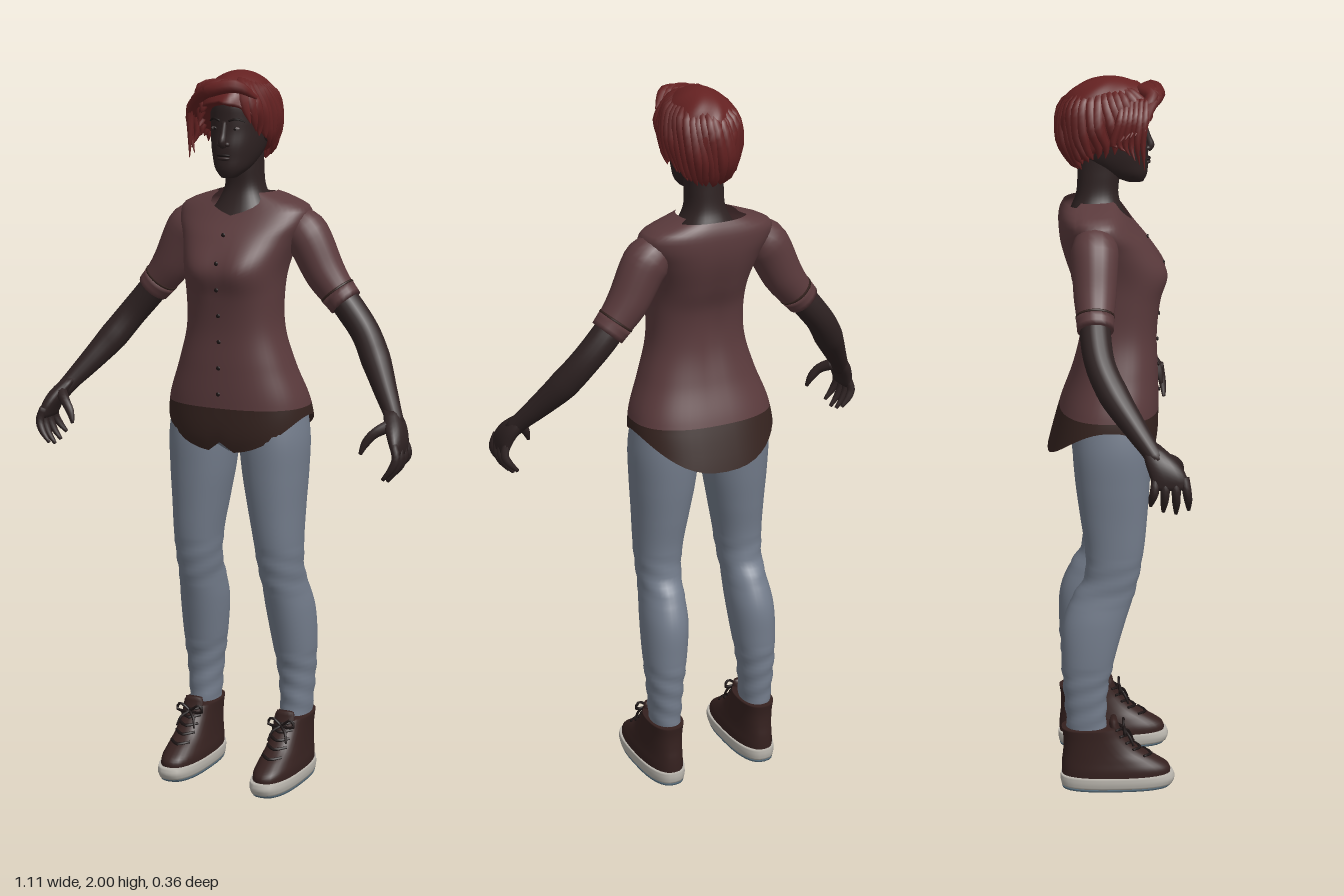
import * as THREE from 'three';

const mat = (name, color, double) => {
  const m = new THREE.MeshStandardMaterial({ color });
  m.name = name;
  if (double) m.side = THREE.DoubleSide;
  return m;
};

// Closed-around surface; fn(u, v) gives a point, s = -1 mirrors it in x
function wrap(fn, nu, nv, s = 1) {
  const pos = [], idx = [];
  for (let j = 0; j <= nv; j++) for (let i = 0; i < nu; i++) {
    const [x, y, z] = fn(i / nu, j / nv, j);
    pos.push(x * s, y, z);
  }
  for (let j = 0; j < nv; j++) for (let i = 0; i < nu; i++) {
    const a = j * nu + i, b = j * nu + (i + 1) % nu, c = b + nu, d = a + nu;
    if (s > 0) idx.push(a, b, c, a, c, d);
    else idx.push(a, c, b, a, d, c);
  }
  const g = new THREE.BufferGeometry();
  g.setAttribute('position', new THREE.Float32BufferAttribute(pos, 3));
  g.setIndex(idx);
  g.computeVertexNormals();
  return g;
}

// Smooth cross-section lookup; rows are [y, centreX, halfWidth, frontZ, backZ]
function section(rows, n = 2.3) {
  const it = new THREE.CubicInterpolant(rows.map(r => r[0]), rows.flatMap(r => r.slice(1)), 4);
  const pw = t => Math.sign(t) * Math.abs(t) ** (2 / n);
  return (a, y, k = 1) => {
    const [cx, w, f, b] = it.evaluate(y);
    return [cx + k * w * pw(Math.sin(a)), y, (f + b) / 2 + k * (f - b) / 2 * pw(Math.cos(a))];
  };
}

// Capped body through horizontal cross-sections
function loft(rows, { s = 1, n = 2.3, nu = 32, nv = 30, ripple = () => 0 } = {}) {
  const sec = section(rows, n), y0 = rows[0][0], y1 = rows[rows.length - 1][0];
  return wrap((u, v, j) => {
    const t = Math.min(1, Math.max(0, (j - 1) / (nv - 2))), y = y0 + (y1 - y0) * t;
    const a = u * Math.PI * 2;
    return sec(a, y, j === 0 || j === nv ? 0 : 1 + ripple(y, a));
  }, nu, nv, s);
}

// Capped tube of changing radius; points are [x, y, z, radius]
function tube(pts, s = 1, seg = 14, sides = 12) {
  const curve = new THREE.CatmullRomCurve3(pts.map(p => new THREE.Vector3(p[0], p[1], p[2])));
  const fr = curve.computeFrenetFrames(seg, false);
  return wrap((u, v, j) => {
    const k = Math.min(seg, Math.max(0, j - 1)), q = k / seg;
    const t = curve.getUtoTmapping(q) * (pts.length - 1), m = Math.min(pts.length - 2, Math.floor(t));
    const r = j === 0 || j === seg + 2 ? 0 : THREE.MathUtils.lerp(pts[m][3], pts[m + 1][3], t - m);
    const a = u * Math.PI * 2;
    return curve.getPointAt(q).addScaledVector(fr.normals[k], r * Math.cos(a))
      .addScaledVector(fr.binormals[k], r * Math.sin(a)).toArray();
  }, sides, seg + 2, s);
}

export function createModel() {
  const M = {
    skin: mat('skin', 0x2e2222), shirt: mat('shirt', 0x5a3a3c, true), hem: mat('shirt hem', 0x35231f, true),
    jeans: mat('jeans', 0x737c8b), hair: mat('hair', 0x642121, true), shoe: mat('shoe leather', 0x35211f),
    sole: mat('sole rim', 0xb8b4ac), tread: mat('tread', 0x5f7787), eye: mat('eyes', 0x6e6464), dark: mat('dark trim', 0x1c1414),
  };
  const root = new THREE.Group();
  root.name = 'figure';
  const add = (name, geo, m) => {
    const o = new THREE.Mesh(geo, m);
    o.name = name;
    root.add(o);
    return o;
  };
  const ball = (name, m, p, sc) => {
    const o = add(name, new THREE.SphereGeometry(1, 16, 10), m);
    o.position.set(...p);
    o.scale.set(...sc);
  };

  // Shirt body with V neck and curved tails
  const torso = section([
    [0.95, 0, 0.208, 0.10, -0.19], [1.0, 0, 0.208, 0.115, -0.178], [1.1, 0, 0.2, 0.12, -0.15],
    [1.2, 0, 0.165, 0.118, -0.115], [1.3, 0, 0.137, 0.115, -0.095], [1.4, 0, 0.134, 0.125, -0.1],
    [1.47, 0, 0.14, 0.135, -0.125], [1.55, 0, 0.165, 0.095, -0.148], [1.6, 0, 0.188, 0.055, -0.153],
    [1.635, 0, 0.178, 0.03, -0.15], [1.66, 0, 0.115, 0.015, -0.14], [1.675, 0, 0.065, 0.01, -0.13]], 2.4);
  const body = (a, y) => {
    const p = torso(a, y), bump = (v, c, w) => Math.exp(-(((v - c) / w) ** 2));
    if (Math.cos(a) > 0) p[2] += 0.012 * bump(Math.abs(p[0]), 0.07, 0.05) * bump(y, 1.47, 0.06);
    else p[2] += 0.012 * bump(p[0], 0, 0.03) * bump(y, 1.38, 0.15);
    return p;
  };
  const turn = u => (u > 0.5 ? u - 1 : u) * Math.PI * 2;
  const neckY = a => 1.61 + 0.06 * Math.min(1, Math.abs(a) / 0.7) - 0.008 * (Math.abs(a) > 2 ? 1 : 0);
  const hemY = a => 1.065 - 0.1 * Math.cos(a) ** 2 + (a === 0 ? 0.03 : 0);
  const line = 1.09;
  add('shirtBody', wrap((u, v) => {
    const a = turn(u);
    return body(a, line + (neckY(a) - line) * v);
  }, 48, 48), M.shirt);
  add('shirtHem', wrap((u, v) => {
    const a = turn(u);
    return body(a, hemY(a) + (line - hemY(a)) * v);
  }, 48, 6), M.hem);
  for (let i = 0; i < 7; i++) {
    const y = 1.13 + i * 0.072;
    ball('button', M.dark, [0, y, body(0, y)[2] + 0.003], [0.006, 0.006, 0.003]);
  }

  // Neck and upper chest
  add('neck', loft([[1.54, 0, 0.1, 0.075, -0.12], [1.6, 0, 0.1, 0.043, -0.13], [1.64, 0, 0.075, 0.022, -0.12],
    [1.68, 0, 0.055, 0.01, -0.105], [1.74, 0, 0.05, 0.015, -0.1], [1.8, 0, 0.05, 0.02, -0.1]]), M.skin);

  // Head and face
  add('head', loft([[1.715, 0, 0.02, 0.077, 0.03], [1.735, 0, 0.041, 0.087, -0.02], [1.77, 0, 0.058, 0.089, -0.08],
    [1.8, 0, 0.066, 0.09, -0.11], [1.84, 0, 0.072, 0.085, -0.13], [1.87, 0, 0.074, 0.085, -0.138],
    [1.92, 0, 0.07, 0.082, -0.135], [1.96, 0, 0.05, 0.055, -0.1]], { n: 2.2 }), M.skin);
  add('nose', tube([[0, 1.865, 0.08, 0.007], [0, 1.83, 0.09, 0.009], [0, 1.812, 0.096, 0.011], [0, 1.8, 0.088, 0.009]]), M.skin);
  ball('upperLip', M.dark, [0, 1.777, 0.088], [0.021, 0.005, 0.009]);
  ball('lowerLip', M.skin, [0, 1.768, 0.087], [0.019, 0.006, 0.01]);
  for (const s of [1, -1]) {
    ball('nostril', M.skin, [s * 0.011, 1.806, 0.087], [0.008, 0.007, 0.009]);
    ball('eye', M.eye, [s * 0.03, 1.848, 0.074], [0.012, 0.0045, 0.006]);
    ball('iris', M.dark, [s * 0.03, 1.848, 0.077], [0.005, 0.0045, 0.005]);
    add('eyebrow', tube([[0.013, 1.868, 0.083, 0.003], [0.033, 1.874, 0.077, 0.004], [0.052, 1.866, 0.062, 0.002]], s, 6, 6), M.dark);
    ball('ear', M.skin, [s * 0.075, 1.835, -0.03], [0.011, 0.028, 0.018]);
  }

  // Hair cap: low at the nape, high over the forehead
  let seed = 7;
  const rnd = () => (seed = (seed * 16807) % 2147483647) / 2147483647;
  const edge = new THREE.CubicInterpolant([0, 0.7, 1.2, 1.8, 2.4, 3.15], [1.92, 1.9, 1.845, 1.815, 1.78, 1.768], 1);
  const low = a => {
    const d = edge.evaluate(Math.abs(a))[0] - 1.885;
    return Math.acos(d / (d > 0 ? 0.113 : 0.15));
  };
  const hairAt = (a, phi, k = 1) => {
    const under = phi > Math.PI / 2, r = Math.sin(phi) ** (under ? 0.55 : 1);
    const q = k * r * (0.96 + 0.035 * Math.sin(7 * a + 5 * phi) * Math.sin(phi));
    return [0.104 * q * Math.sin(a), 1.885 + (under ? 0.15 : 0.113 * k) * Math.cos(phi), -0.014 + 0.143 * q * Math.cos(a)];
  };
  add('hairCap', wrap((u, v, j) => {
    const a = turn(u);
    return hairAt(a, low(a) * (1 - Math.max(0, j - 1) / 23), j === 0 ? 0.72 : 1);
  }, 56, 24), M.hair);
  // Layered locks sweeping round from the crown
  for (let i = 0; i < 30; i++) {
    const a = 0.75 + i / 29 * (Math.PI * 2 - 1.5);
    const pt = (t, k, r) => {
      const b = a + 0.45 * (t - 1) + 0.1 * rnd(), c = b > Math.PI ? b - Math.PI * 2 : b;
      return [...hairAt(c, low(c) * t, k), r];
    };
    add('hairLock', tube([pt(0.25, 0.88, 0.006), pt(0.5, 0.93, 0.016), pt(0.8, 0.95, 0.018),
      pt(1.0, 0.95, 0.011), pt(1.05 + 0.06 * rnd(), 1.0, 0.001)], 1, 12, 7), M.hair);
  }
  // Swept fringe and loose strands on the right temple
  for (let i = 0; i < 6; i++) {
    const d = i * 0.013, e = rnd() * 0.02;
    add('fringe', tube([[0.085 - d, 1.93 + d * 0.5, 0.06, 0.006], [0.045 - d, 1.962, 0.098 - d * 0.5, 0.018],
      [-0.02 - d * 0.6, 1.958 - e * 0.6, 0.115 - d * 0.3, 0.019], [-0.08, 1.925 - d * 0.4, 0.09 - d * 0.5, 0.014],
      [-0.11 - e, 1.87 - d * 0.4, 0.075 - d, 0.002]], 1, 16, 8), M.hair);
    add('templeStrand', tube([[-0.07, 1.945, 0.08 - d, 0.008], [-0.105, 1.9, 0.075 - d, 0.012],
      [-0.118 + e, 1.83, 0.07 - d * 1.2, 0.008], [-0.095 - e * 1.5, 1.765 + d, 0.075 - d, 0.001]], 1, 14, 7), M.hair);
  }

  add('pelvis', loft([[0.955, 0, 0.03, 0.04, -0.08], [1.0, 0, 0.12, 0.085, -0.115], [1.12, 0, 0.185, 0.085, -0.115]]), M.jeans);

  for (const s of [1, -1]) {
    // Sleeve, cuff and arm
    add('sleeve', tube([[0.12, 1.6, -0.06, 0.045], [0.175, 1.56, -0.06, 0.064], [0.237, 1.45, -0.062, 0.056],
      [0.293, 1.38, -0.063, 0.045]], s, 18, 20), M.shirt);
    add('cuff', tube([[0.272, 1.405, -0.063, 0.051], [0.296, 1.377, -0.063, 0.048]], s, 3, 20), M.shirt);
    add('cuffSeam', tube([[0.268, 1.41, -0.063, 0.0515], [0.272, 1.405, -0.063, 0.0515]], s, 2, 20), M.hem);
    add('arm', tube([[0.25, 1.43, -0.062, 0.04], [0.31, 1.36, -0.063, 0.041], [0.36, 1.3, -0.052, 0.04],
      [0.405, 1.235, -0.02, 0.041], [0.455, 1.165, 0.03, 0.032], [0.492, 1.115, 0.068, 0.025],
      [0.512, 1.085, 0.09, 0.024]], s, 26, 16), M.skin);
    // Hand
    add('palm', loft([[1.02, 0.537, 0.012, 0.165, 0.075], [1.05, 0.53, 0.02, 0.163, 0.068],
      [1.09, 0.512, 0.025, 0.138, 0.055], [1.125, 0.49, 0.02, 0.095, 0.05]], { s, nu: 18, nv: 12 }), M.skin);
    for (let i = 0; i < 4; i++) {
      const z = 0.083 + i * 0.025, l = [0.022, 0.006, 0, 0.01][i], f = (i - 1.5) * 0.006;
      add('finger', tube([[0.532, 1.05, z, 0.011], [0.542, 1.015, z + f * 0.5, 0.012], [0.532, 0.98 + l * 0.6, z + f, 0.0105],
        [0.508, 0.945 + l, z + f * 1.3, 0.005]], s, 10, 8), M.skin);
    }
    add('thumb', tube([[0.502, 1.09, 0.11, 0.018], [0.47, 1.07, 0.14, 0.014], [0.45, 1.045, 0.15, 0.012],
      [0.438, 1.015, 0.158, 0.005]], s, 10, 8), M.skin);

    // Trouser leg with creases at the knee and ankle
    add('trouserLeg', loft([[0.16, 0.145, 0.042, -0.03, -0.14], [0.2, 0.145, 0.043, -0.03, -0.142],
      [0.3, 0.145, 0.05, -0.025, -0.15], [0.4, 0.141, 0.06, -0.003, -0.155], [0.5, 0.135, 0.063, 0.025, -0.15],
      [0.58, 0.13, 0.058, 0.05, -0.117], [0.62, 0.128, 0.06, 0.06, -0.092], [0.7, 0.125, 0.066, 0.075, -0.087],
      [0.8, 0.118, 0.077, 0.085, -0.1], [0.9, 0.112, 0.089, 0.092, -0.113], [1.0, 0.108, 0.095, 0.095, -0.12],
      [1.12, 0.1, 0.085, 0.085, -0.115]], {
      s, nv: 80, n: 2.15, ripple: (y, a) => (y < 0.36 ? 0.035 : y > 0.56 && y < 0.68 ? 0.02 : 0) * Math.sin(y * 110 + 2 * a),
    }), M.jeans);

    // High-top shoe
    add('shoeUpper', loft([[0.03, 0.145, 0.056, 0.152, -0.155], [0.06, 0.145, 0.056, 0.148, -0.156],
      [0.085, 0.145, 0.052, 0.112, -0.155], [0.11, 0.145, 0.049, 0.067, -0.152], [0.15, 0.145, 0.047, 0.025, -0.151],
      [0.185, 0.145, 0.048, 0.003, -0.156]], { s, n: 2.4 }), M.shoe);
    add('soleRim', loft([[0.008, 0.145, 0.057, 0.158, -0.157], [0.025, 0.145, 0.06, 0.165, -0.16],
      [0.042, 0.145, 0.059, 0.16, -0.159]], { s, n: 2.6, nv: 8 }), M.sole);
    add('tread', loft([[0, 0.145, 0.055, 0.15, -0.155], [0.009, 0.145, 0.057, 0.157, -0.157]], { s, n: 2.6, nv: 4 }), M.tread);
    // Laces, bow and tongue
    for (let i = 0; i < 5; i++) {
      const y = 0.095 + i * 0.02, z = [0.094, 0.063, 0.043, 0.026, 0.014][i];
      add('lace', tube([[0.115, y + 0.004, z - 0.018, 0.004], [0.145, y, z + 0.003, 0.005], [0.175, y + 0.004, z - 0.018, 0.004]], s, 6, 6), M.dark);
    }
    for (const d of [1, -1]) {
      add('bowLoop', tube([[0.145, 0.17, 0.018, 0.004], [0.145 + d * 0.03, 0.19, 0.02, 0.004],
        [0.145 + d * 0.04, 0.172, 0.02, 0.004], [0.145, 0.168, 0.022, 0.004]], s, 10, 6), M.dark);
      add('laceEnd', tube([[0.145, 0.17, 0.02, 0.004], [0.145 + d * 0.02, 0.155, 0.035, 0.004],
        [0.145 + d * 0.028, 0.13, 0.046, 0.003]], s, 6, 6), M.dark);
    }
    add('tongue', loft([[0.15, 0.145, 0.026, 0.02, -0.01], [0.185, 0.145, 0.03, 0.005, -0.022],
      [0.205, 0.145, 0.026, 0, -0.018]], { s, nu: 16, nv: 8 }), M.shoe);
  }
  return root;
}
